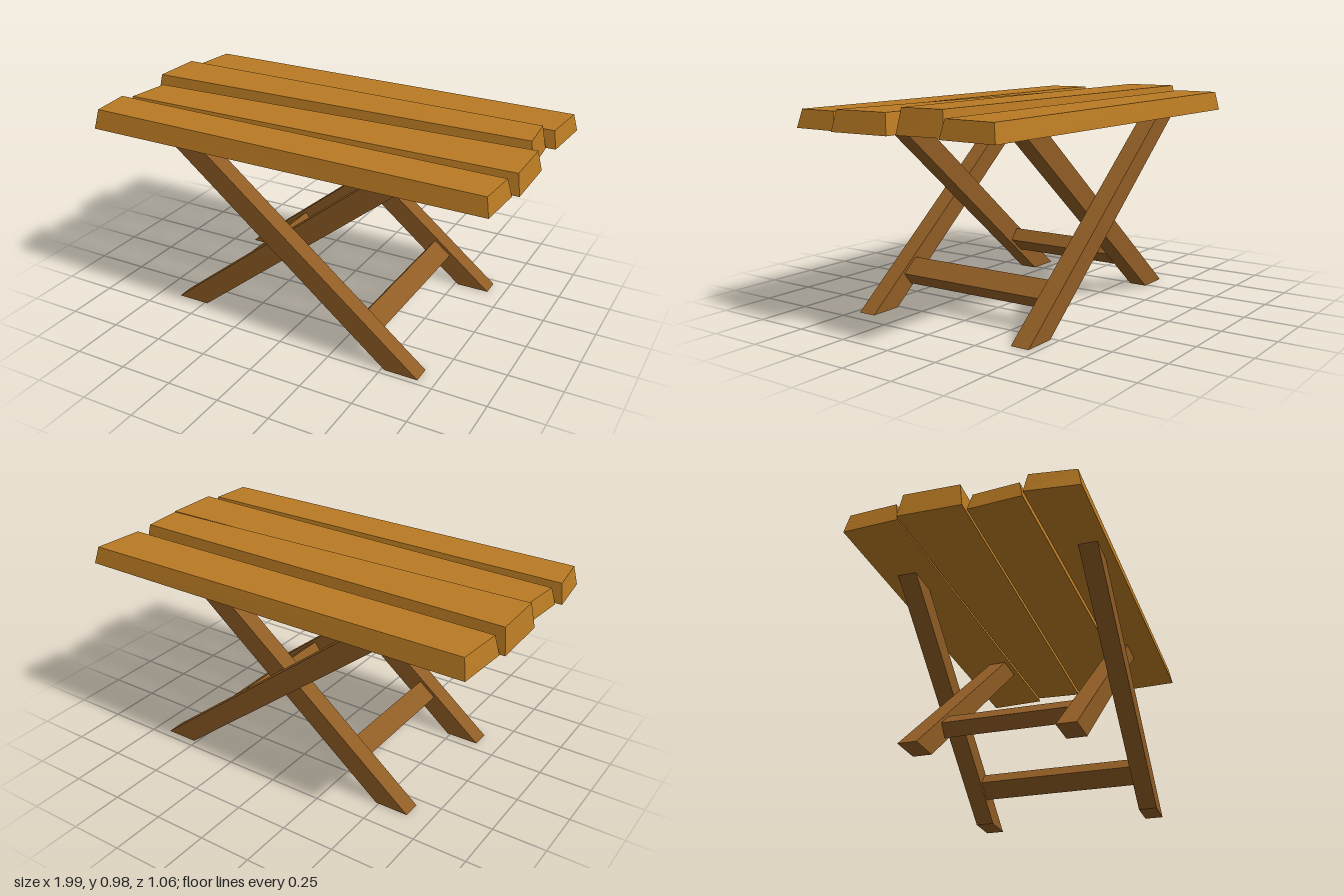
import * as THREE from 'three';

const plankWood = new THREE.MeshStandardMaterial({ color: 0xb97a23 });
plankWood.name = 'plankWood';
const legWood = new THREE.MeshStandardMaterial({ color: 0x8f5c24 });
legWood.name = 'legWood';

const UNDERSIDE = 0.863;

// Crooked plank: a box whose corners move to four floor-plan corners,
// with the top inset on every side and its height changing from left to right.
// corners: [x, z] at back -x, back +x, front +x, front -x
function plank(name, corners, yMinus, yPlus) {
  const inset = 0.017;
  const box = new THREE.BoxGeometry(1, 1, 1).toNonIndexed();
  const p = box.attributes.position;
  for (let i = 0; i < p.count; i++) {
    const sx = Math.sign(p.getX(i)), sz = Math.sign(p.getZ(i));
    const top = p.getY(i) > 0;
    const [x, z] = corners[sz < 0 ? (sx < 0 ? 0 : 1) : (sx < 0 ? 3 : 2)];
    const d = top ? inset : 0;
    p.setXYZ(i, x - sx * d, top ? (sx < 0 ? yMinus : yPlus) : UNDERSIDE, z - sz * d);
  }
  box.computeVertexNormals();
  const mesh = new THREE.Mesh(box, plankWood);
  mesh.name = name;
  return mesh;
}

// Slanted leg cut level at the floor and under the planks
function leg(name, bottom, top, zMin, zMax) {
  const shape = new THREE.Shape([
    new THREE.Vector2(bottom[0], 0),
    new THREE.Vector2(bottom[1], 0),
    new THREE.Vector2(top[1], UNDERSIDE),
    new THREE.Vector2(top[0], UNDERSIDE),
  ]);
  const geo = new THREE.ExtrudeGeometry(shape, { depth: zMax - zMin, bevelEnabled: false });
  geo.translate(0, 0, zMin);
  const mesh = new THREE.Mesh(geo, legWood);
  mesh.name = name;
  return mesh;
}

// Crossbar lying along the slant of its pair of legs
function stretcher(name, x, y, tilt, zMin, zMax) {
  const mesh = new THREE.Mesh(new THREE.BoxGeometry(0.104, 0.07, zMax - zMin), legWood);
  mesh.position.set(x, y, (zMin + zMax) / 2);
  mesh.rotation.z = tilt;
  mesh.name = name;
  return mesh;
}

export function createModel() {
  const table = new THREE.Group();
  table.name = 'plankTable';

  // Table top, back to front
  table.add(
    plank('backPlank', [[-0.954, -0.537], [0.986, -0.537], [0.97, -0.26], [-0.97, -0.28]], 0.954, 0.943),
    plank('middleBackPlank', [[-0.992, -0.275], [0.928, -0.25], [0.944, -0.02], [-0.987, 0.013]], 0.978, 0.973),
    plank('middleFrontPlank', [[-0.95, 0.02], [0.987, -0.01], [0.992, 0.286], [-0.97, 0.265]], 0.943, 0.954),
    plank('frontPlank', [[-0.997, 0.275], [0.965, 0.297], [0.954, 0.527], [-0.97, 0.51]], 0.954, 0.943),
  );

  // Crossed legs: the outer pair runs down to +x, the inner pair down to -x
  const outer = [[0.516, 0.673], [-0.563, -0.405]];
  const inner = [[-0.645, -0.486], [0.425, 0.584]];
  table.add(
    leg('outerFrontLeg', ...outer, 0.385, 0.472),
    leg('innerFrontLeg', ...inner, 0.298, 0.385),
    leg('innerBackLeg', ...inner, -0.375, -0.29),
    leg('outerBackLeg', ...outer, -0.463, -0.375),
  );

  // Stretchers between each pair
  const tilt = Math.atan2(UNDERSIDE, 1.075);
  table.add(
    stretcher('outerStretcher', 0.401, 0.155, -tilt, -0.375, 0.385),
    stretcher('innerStretcher', -0.336, 0.185, tilt, -0.29, 0.298),
  );
  return table;
}
